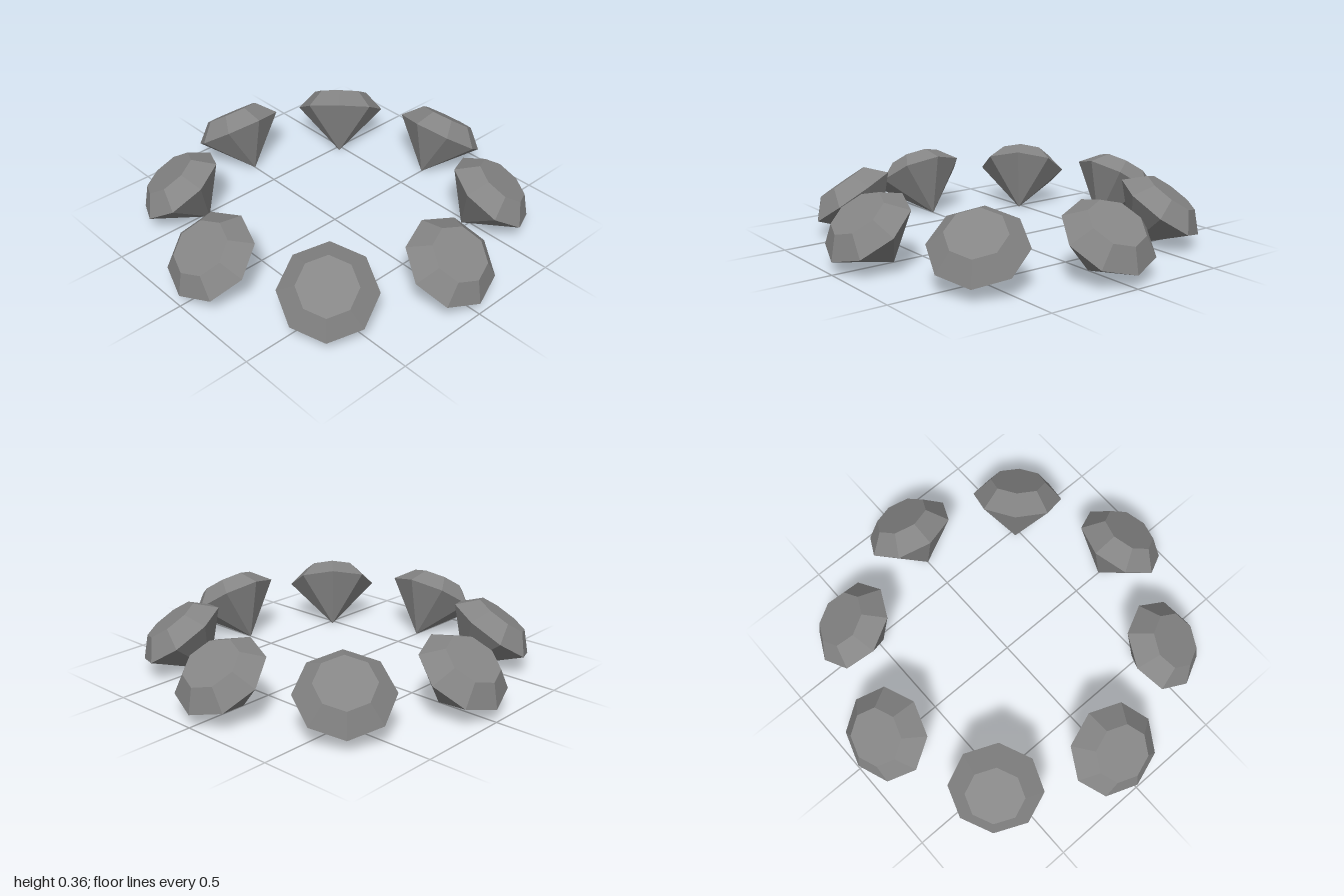
import * as THREE from 'three';

const COUNT = 8;          // gems in the ring
const RING_RADIUS = 0.803;
const GIRDLE_HEIGHT = 0.2;
const TILT = THREE.MathUtils.degToRad(34.7);

// Eight-sided cut stone, with its girdle at y = 0
function gemGeometry() {
  const profile = [
    [0, -0.243],     // culet
    [0.239, 0],      // girdle
    [0.147, 0.093],  // table edge
    [0, 0.093],      // table centre
  ].map(([r, y]) => new THREE.Vector2(r, y));
  return new THREE.LatheGeometry(profile, 8);
}

export function createModel() {
  const model = new THREE.Group();
  model.name = 'gemRing';
  const material = new THREE.MeshStandardMaterial({ color: 0x858585, flatShading: true });
  const geometry = gemGeometry();

  for (let i = 0; i < COUNT; i++) {
    // Pivot turns each gem to its place around the ring
    const pivot = new THREE.Group();
    pivot.name = `gemPivot${i + 1}`;
    pivot.rotation.y = (i / COUNT) * Math.PI * 2;

    // Table leans outward, culet points in toward the centre
    const gem = new THREE.Mesh(geometry, material);
    gem.name = `gem${i + 1}`;
    gem.position.set(0, GIRDLE_HEIGHT, RING_RADIUS);
    gem.rotation.x = TILT;

    pivot.add(gem);
    model.add(pivot);
  }
  return model;
}
